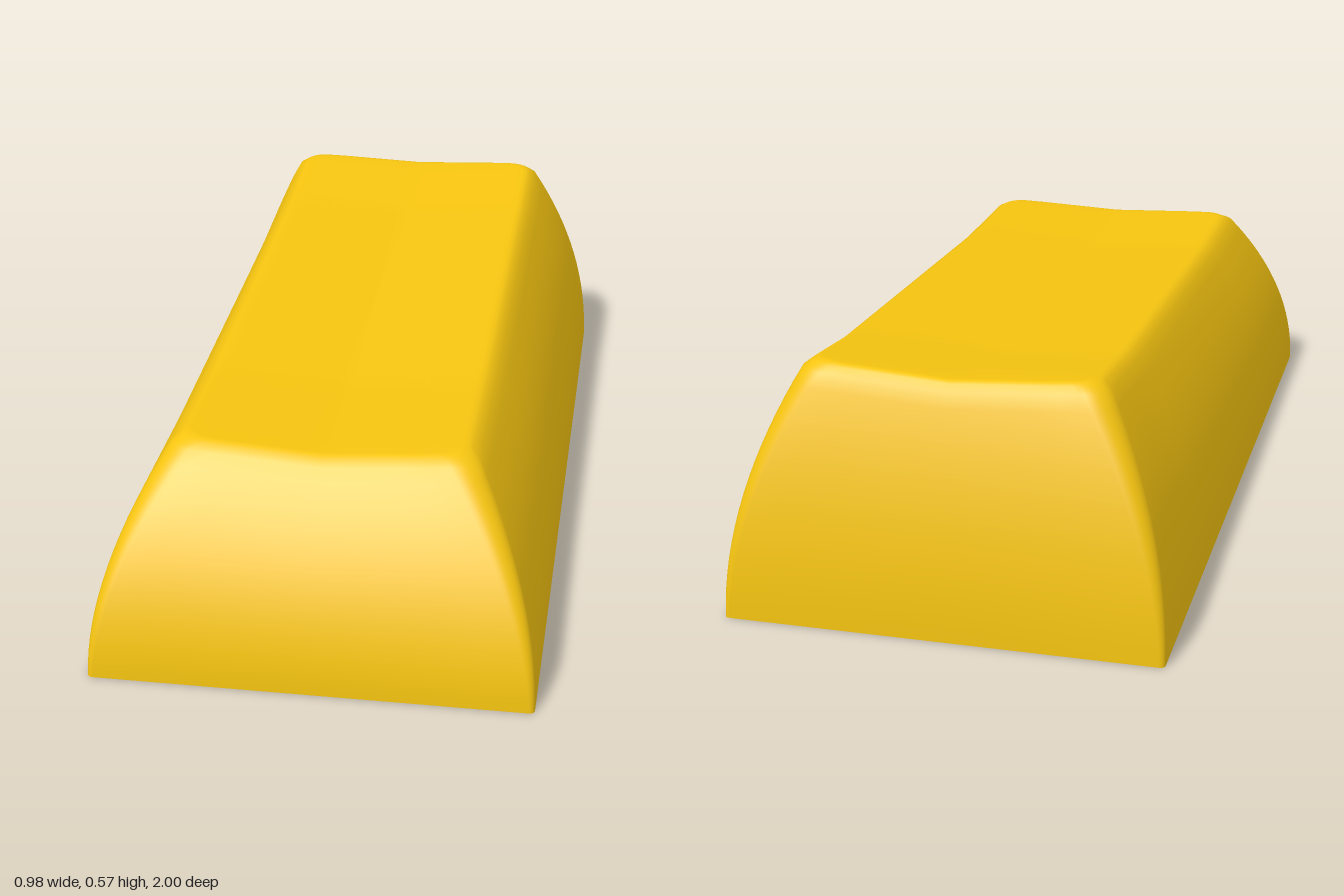
import * as THREE from 'three';

const { lerp } = THREE.MathUtils;

// Height of the dished, sloping top surface
function topY(x, z) {
  const pts = [[1, 0.488], [0.42, 0.488], [-0.6, 0.54], [-0.86, 0.57], [-1, 0.57]];
  let y = 0.57;
  for (let i = 0; i < pts.length - 1; i++) {
    const [z0, y0] = pts[i], [z1, y1] = pts[i + 1];
    if (z <= z0 && z >= z1) y = lerp(y0, y1, (z0 - z) / (z0 - z1));
  }
  return y - 0.016 * Math.max(0, 1 - Math.abs(x) / 0.3);
}

// Rounded rectangle outline as [x, z] points, running from +x towards +z
function outline(hx, zFront, zBack, r, bulge = 0) {
  const out = [];
  const corners = [[hx - r, zFront - r], [-hx + r, zFront - r], [-hx + r, zBack + r], [hx - r, zBack + r]];
  corners.forEach(([cx, cz], c) => {
    const arc = 8, straight = c % 2 ? 30 : 12;
    for (let i = 0; i <= arc; i++) {
      const a = (c + i / arc) * Math.PI / 2;
      out.push([cx + r * Math.cos(a), cz + r * Math.sin(a)]);
    }
    const [px, pz] = out[out.length - 1];
    const a = (c + 1) * Math.PI / 2, [nx, nz] = corners[(c + 1) % 4];
    const qx = nx + r * Math.cos(a), qz = nz + r * Math.sin(a);
    for (let i = 1; i < straight; i++) {
      const x = lerp(px, qx, i / straight), z = lerp(pz, qz, i / straight);
      const push = c % 2 ? 0 : bulge * (1 - Math.abs(x) / hx);
      out.push([x, z + Math.sign(z) * push]);
    }
  });
  return out;
}

// Skin between rings that all have the same number of points
function loft(rings) {
  const n = rings[0].length, index = [];
  for (let j = 0; j < rings.length - 1; j++) {
    for (let i = 0; i < n; i++) {
      const a = j * n + i, b = j * n + (i + 1) % n;
      index.push(a, a + n, b, b, a + n, b + n);
    }
  }
  const g = new THREE.BufferGeometry();
  g.setAttribute('position', new THREE.Float32BufferAttribute(rings.flat(2), 3));
  g.setIndex(index);
  g.computeVertexNormals();
  return g;
}

// Outer and inner wall outlines at fraction t of the height
const outer = (t, inset = 0) => outline(0.488 - 0.163 * t * t - inset,
  1 - 0.21 * t ** 1.9 - inset, -1 + 0.11 * t * t + inset, 0.012 + 0.045 * t, 0.012 * t);
const inner = t => outline(0.408 - 0.165 * t * t, 0.925 - 0.19 * t * t, -0.925 + 0.11 * t * t, 0.01 + 0.02 * t);

// Shrinks an outline to its centre, following a height rule
function cap(points, zMid, height, steps = 18) {
  const rings = [];
  for (let s = 0; s <= steps; s++) {
    const k = 1 - s / steps;
    rings.push(points.map(([x, z]) => {
      const px = x * k, pz = zMid + (z - zMid) * k;
      return [px, height(px, pz), pz];
    }));
  }
  return rings;
}

export function createModel() {
  const group = new THREE.Group();
  const material = new THREE.MeshStandardMaterial({ color: 0xf5c410 });
  const add = (name, geometry) => {
    const mesh = new THREE.Mesh(geometry, material);
    mesh.name = name;
    group.add(mesh);
    return mesh;
  };

  // Curved sides, softened upper edge and dished top
  const rings = [];
  for (let i = 0; i <= 16; i++) {
    const t = 0.965 * i / 16;
    rings.push(outer(t).map(([x, z]) => [x, t * topY(x, z), z]));
  }
  rings.push(outer(1, 0.006).map(([x, z]) => [x, topY(x, z) - 0.006, z]));
  rings.push(outer(1, 0.014).map(([x, z]) => [x, topY(x, z) - 0.001, z]));
  rings.push(...cap(outer(1, 0.025), -0.05, topY));
  add('outerShell', loft(rings));

  // Flat lower edge of the walls
  const flat = pts => pts.map(([x, z]) => [x, 0, z]);
  add('bottomRim', loft([flat(inner(0)), flat(outer(0))]));

  // Hollow inside
  const ceilingY = (x, z) => topY(x, z) - 0.05;
  const walls = [];
  for (let i = 12; i >= 0; i--) {
    const t = i / 12;
    walls.push(inner(t).map(([x, z]) => [x, t * ceilingY(x, z), z]));
  }
  add('innerWalls', loft(walls));
  add('ceiling', loft(cap(inner(1), -0.04, ceilingY).reverse()));

  // Three mounting posts with cross-shaped sockets
  const w = 0.037, l = 0.112;
  const cross = [[w, l], [w, w], [l, w], [l, -w], [w, -w], [w, -l],
    [-w, -l], [-w, -w], [-l, -w], [-l, w], [-w, w], [-w, l]];
  for (const z of [-0.644, 0, 0.644]) {
    const shape = new THREE.Shape().absarc(0, 0, 0.14, 0, Math.PI * 2);
    shape.holes.push(new THREE.Path(cross.map(([x, y]) => new THREE.Vector2(x, y))));
    const post = add('mountingPost', new THREE.ExtrudeGeometry(shape, {
      depth: topY(0, z) - 0.03, bevelEnabled: false, curveSegments: 24,
    }));
    post.rotation.x = -Math.PI / 2;
    post.position.z = z;
  }
  return group;
}
